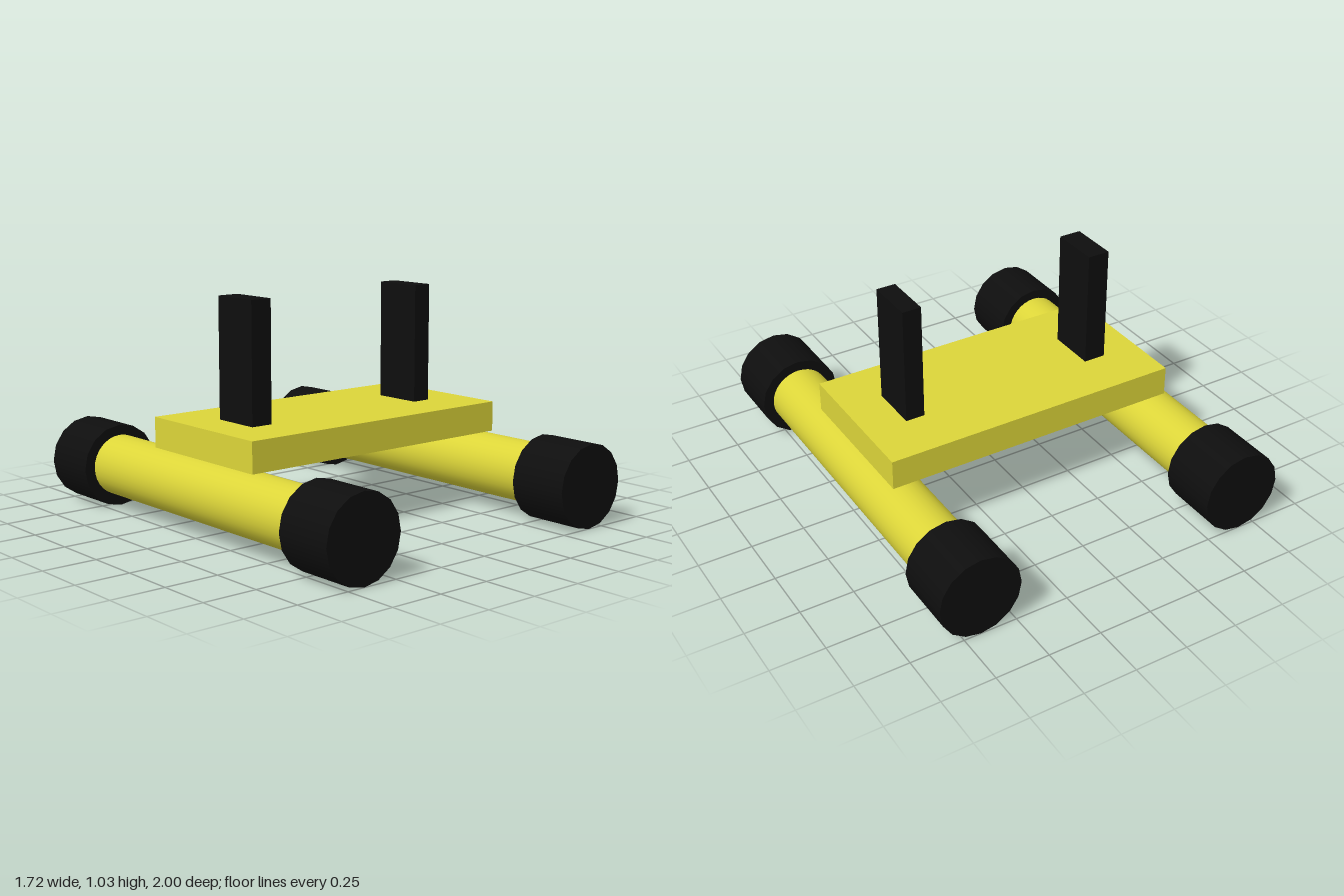
import * as THREE from 'three';

const yellow = new THREE.MeshStandardMaterial({ color: 0xdcd539 });
yellow.name = 'yellow';
const black = new THREE.MeshStandardMaterial({ color: 0x0e0e0e });
black.name = 'black';

export function createModel() {
  const model = new THREE.Group();
  model.name = 'trolley';

  const add = (name, geometry, material, x, y, z) => {
    const mesh = new THREE.Mesh(geometry, material);
    mesh.name = name;
    mesh.position.set(x, y, z);
    model.add(mesh);
  };
  // Cylinder lying along z
  const rod = (radius, length, sides) =>
    new THREE.CylinderGeometry(radius, radius, length, sides).rotateX(Math.PI / 2);

  // Deck with a black underside (box face order: +x, -x, +y, -y, +z, -z)
  add('deck', new THREE.BoxGeometry(1.43, 0.14, 0.71),
    [yellow, yellow, yellow, black, yellow, yellow], 0.005, 0.41, 0);

  // Upright posts
  add('rightPost', new THREE.BoxGeometry(0.105, 0.55, 0.235), black, -0.475, 0.755, 0.002);
  add('leftPost', new THREE.BoxGeometry(0.09, 0.55, 0.235), black, 0.478, 0.755, 0.002);

  // Axle tubes with a wheel on each end
  for (const [side, x] of [['right', -0.668], ['left', 0.668]]) {
    add(side + 'Axle', rod(0.141, 1.5, 32), yellow, x, 0.196, 0);
    for (const [end, z] of [['Front', 0.858], ['Back', -0.857]]) {
      add(side + end + 'Wheel', rod(0.192, 0.285, 16), black, x, 0.193, z);
    }
  }
  return model;
}
